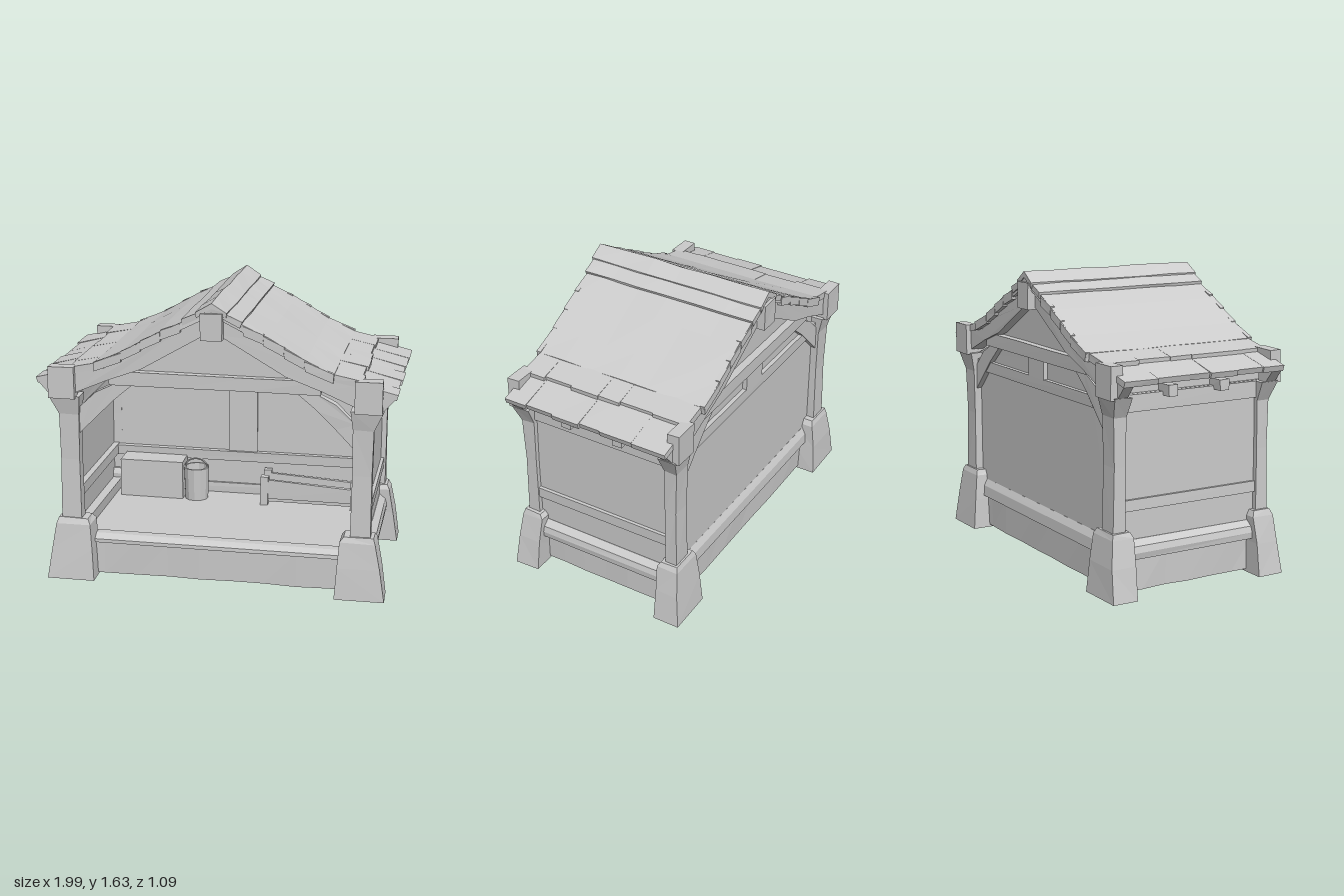
import * as THREE from 'three';

const mat = new THREE.MeshStandardMaterial({ color: 0xcccccc, flatShading: true, side: THREE.DoubleSide });

// Repeatable pseudo-random value in -1..1 from a position
function hash(x, y, z) {
  const s = Math.sin(x * 127.1 + y * 311.7 + z * 74.7) * 43758.5453;
  return (s - Math.floor(s)) * 2 - 1;
}

// Nudge corners a little for a hand-hewn look; coincident vertices move together
function rough(geo, amount) {
  const p = geo.attributes.position;
  for (let i = 0; i < p.count; i++) {
    const [x, y, z] = [p.getX(i), p.getY(i), p.getZ(i)].map(v => Math.round(v * 1000) / 1000);
    p.setXYZ(i, x + amount * hash(x, y, z), Math.max(0, y + amount * hash(y, z, x)), z + amount * hash(z, x, y));
  }
  geo.computeVertexNormals();
  return geo;
}

export function createModel() {
  const model = new THREE.Group();

  const add = (name, geo, amount = 0.002, parent = model) => {
    const mesh = new THREE.Mesh(rough(geo, amount), mat);
    mesh.name = name;
    parent.add(mesh);
  };
  // Box given by its limits on each axis
  const box = (name, x0, x1, y0, y1, z0, z1, amount, seg = [1, 1, 1]) => {
    const g = new THREE.BoxGeometry(Math.abs(x1 - x0), y1 - y0, Math.abs(z1 - z0), ...seg);
    g.translate((x0 + x1) / 2, (y0 + y1) / 2, (z0 + z1) / 2);
    add(name, g, amount);
  };
  // Outline in x/y extruded between two z values
  const prism = (name, pts, z0, z1, amount, steps = 1) => {
    const shape = new THREE.Shape(pts.map(p => new THREE.Vector2(p[0], p[1])));
    const g = new THREE.ExtrudeGeometry(shape, { depth: Math.abs(z1 - z0), bevelEnabled: false, steps });
    g.translate(0, 0, Math.min(z0, z1));
    add(name, g, amount);
  };
  // Block open at the bottom whose section changes with height: rows of [y, x0, x1, z0, z1]
  const tapered = (name, rows, sx, sz, amount) => {
    const pos = [], idx = [], n = rows.length;
    for (const [y, x0, x1, z0, z1] of rows)
      pos.push(sx * x0, y, sz * z0, sx * x1, y, sz * z0, sx * x1, y, sz * z1, sx * x0, y, sz * z1);
    const quad = (a, b, c, d) => (sx * sz > 0 ? idx.push(a, c, b, a, d, c) : idx.push(a, b, c, a, c, d));
    for (let r = 0; r < n - 1; r++)
      for (let k = 0; k < 4; k++) {
        const a = r * 4 + k, b = r * 4 + (k + 1) % 4;
        quad(a, b, b + 4, a + 4);
      }
    const t = (n - 1) * 4;
    quad(t, t + 1, t + 2, t + 3);
    const g = new THREE.BufferGeometry();
    g.setAttribute('position', new THREE.Float32BufferAttribute(pos, 3));
    g.setIndex(idx);
    add(name, g.toNonIndexed(), amount);
  };
  const mirror = (pts, s) => pts.map(([x, y]) => [x * s, y]);

  // Hollow stone plinth, floor and sloped sills
  for (const t of [1, -1]) {
    box('plinthLong', -0.82, 0.82, 0.015, 0.21, t * 0.425, t * 0.437, 0.003, [9, 1, 1]);
    box('plinthShort', t * 0.818, t * 0.83, 0.015, 0.21, -0.43, 0.43, 0.003, [1, 1, 6]);
  }
  box('floor', -0.82, 0.82, 0.2, 0.238, -0.425, 0.4, 0.001);
  tapered('frontSill', [[0.2, -0.72, 0.72, 0.36, 0.452], [0.222, -0.72, 0.72, 0.36, 0.45], [0.243, -0.72, 0.72, 0.36, 0.41]], 1, 1);
  tapered('backSill', [[0.2, -0.74, 0.74, 0.4, 0.468], [0.26, -0.74, 0.74, 0.4, 0.462], [0.3, -0.74, 0.74, 0.4, 0.44]], 1, -1);

  // Back wall with rails and studs
  prism('backWall', [[-0.8, 0.24], [0.8, 0.24], [0.8, 1.06], [0.52, 1.17], [-0.52, 1.17], [-0.8, 1.06]], -0.44, -0.415, 0.001);
  box('backLowRail', -0.78, 0.78, 0.45, 0.51, -0.42, -0.38);
  box('backHighRail', -0.78, 0.78, 0.97, 1.035, -0.465, -0.38);
  box('backStud', -0.085, 0.09, 0.5, 0.98, -0.42, -0.4);
  box('backTopStud', -0.085, 0.09, 1.03, 1.15, -0.465, -0.39);

  for (const s of [1, -1]) {
    // Side walls with rails, wall plate and rafter ends
    box('sideWall', s * 0.81, s * 0.838, 0.24, 1.07, -0.43, 0.43, 0.001);
    prism('sideSill', mirror([[0.76, 0.2], [0.88, 0.2], [0.885, 0.235], [0.875, 0.27], [0.84, 0.3], [0.76, 0.3]], s), -0.41, 0.41);
    box('sideLowRail', s * 0.775, s * 0.856, 0.455, 0.515, -0.43, 0.43);
    box('sideHighRail', s * 0.775, s * 0.86, 0.98, 1.07, -0.45, 0.45);
    box('wallPlate', s * 0.77, s * 0.82, 1.06, 1.2, -0.48, 0.48);
    for (const z of [0.16, -0.16]) box('rafterEnd', s * 0.8, s * 0.92, 1.05, 1.11, z - 0.028, z + 0.028);

    for (const t of [1, -1]) {
      // Corner: stone footing, post with flared head, beam end and eaves bracket
      tapered('footing', [[0, 0.68, 0.952, 0.39, 0.54], [0.18, 0.69, 0.925, 0.385, 0.525],
        [0.325, 0.70, 0.897, 0.38, 0.51], [0.355, 0.72, 0.885, 0.395, 0.497]], s, t, 0.003);
      tapered('post', [[0.34, 0.755, 0.868, 0.415, 0.487], [0.7, 0.758, 0.866, 0.415, 0.482],
        [0.96, 0.755, 0.868, 0.41, 0.487], [1.07, 0.745, 0.92, 0.405, 0.51]], s, t, 0.002);
      box('beamEnd', s * 0.765, s * 0.912, 1.06, 1.238, t * 0.46, t * 0.53);
      prism('eavesBracket', mirror([[0.85, 0.99], [0.875, 1.02], [0.98, 1.145], [0.85, 1.19]], s), t * 0.43, t * 0.49);

      // Truss: rafter and curved knee brace
      prism('rafter', mirror([[0.03, 1.57], [0.3, 1.425], [0.55, 1.285], [0.78, 1.21],
        [0.78, 1.085], [0.58, 1.17], [0.4, 1.235], [0.03, 1.45]], s), t * 0.42, t * 0.5);
      prism('kneeBrace', mirror([[0.77, 0.84], [0.66, 0.95], [0.56, 1.05], [0.44, 1.15],
        [0.54, 1.15], [0.66, 1.09], [0.77, 0.985]], s), t * 0.42, t * 0.47);
    }

    // Roof slope: two ridge-side courses, the broad course and the eaves courses
    prism('ridgeCap', mirror([[0, 1.628], [0.085, 1.573], [0.08, 1.545], [0, 1.595]], s), -0.535, 0.535, 0.003, 6);
    prism('upperCourse', mirror([[0, 1.602], [0.165, 1.528], [0.155, 1.495], [0, 1.57]], s), -0.527, 0.527, 0.003, 6);
    prism('mainCourse', mirror([[0.06, 1.562], [0.3, 1.45], [0.5, 1.335], [0.655, 1.265],
      [0.65, 1.23], [0.49, 1.295], [0.29, 1.41], [0.06, 1.525]], s), -0.522, 0.522, 0.003, 6);
    // Lapped tiles along both verges
    const verge = [[0.17, 1.506], [0.28, 1.455], [0.39, 1.393], [0.5, 1.33], [0.655, 1.261]];
    for (const t of [1, -1])
      for (let i = 0; i < 4; i++) {
        const [x0, y0] = verge[i], [x1, y1] = verge[i + 1];
        prism('vergeTile', mirror([[x0, y0], [x1, y1 + 0.01], [x1 - 0.005, y1 - 0.04], [x0, y0 - 0.05]], s),
          t * 0.5, t * 0.526, 0.001);
      }
    // Ragged tiles in the two eaves courses
    const cuts = [-0.505, -0.3, -0.1, 0.03, 0.2, 0.37, 0.505];
    for (let i = 0; i < 6; i++) {
      const d = 0.012 * hash(i, s, 3), e = 0.016 * hash(i, s, 8);
      prism('middleTile', mirror([[0.6, 1.275], [0.8 + d, 1.234], [0.797 + d, 1.195], [0.6, 1.235]], s), cuts[i], cuts[i + 1], 0.001);
      prism('eaveTile', mirror([[0.75, 1.225], [0.985 + e, 1.166], [0.975 + e, 1.135], [0.75, 1.19]], s),
        cuts[i] * 0.98, cuts[i + 1] * 0.98, 0.001);
    }
  }

  // Ridge beam, tie beams and gable panels
  box('ridgeBeam', -0.06, 0.06, 1.425, 1.57, -0.545, 0.545);
  for (const t of [1, -1]) {
    box('tieBeam', -0.58, 0.58, 1.14, 1.215, t * 0.41, t * 0.485, 0.002, [3, 1, 1]);
    prism('gablePanel', [[-0.5, 1.19], [0.5, 1.19], [0.06, 1.5], [-0.06, 1.5]], t * 0.425, t * 0.44, 0.001);
  }

  // Chest against the back wall
  box('chest', -0.722, -0.34, 0.235, 0.47, -0.385, -0.235, 0.004);

  // Bucket with a hoop handle
  const bucket = new THREE.Group();
  bucket.name = 'bucket';
  bucket.position.set(-0.262, 0.235, -0.285);
  model.add(bucket);
  const profile = [[0, 0], [0.07, 0], [0.078, 0.2], [0.066, 0.2], [0.06, 0.04], [0, 0.04]];
  add('bucketBody', new THREE.LatheGeometry(profile.map(p => new THREE.Vector2(...p)), 12), 0, bucket);
  add('bucketHandle', new THREE.TorusGeometry(0.068, 0.006, 5, 12, Math.PI).scale(1, 0.8, 1).translate(0, 0.195, 0), 0, bucket);

  // Low bed: posts, rails and boards
  for (const z of [-0.24, -0.37]) {
    for (const x of [0.163, 0.703]) box('bedPost', x - 0.023, x + 0.023, 0.235, 0.415, z - 0.02, z + 0.02);
    prism('bedRail', [[0.17, 0.275], [0.7, 0.275], [0.7, 0.365], [0.17, 0.395]], z - 0.012, z + 0.012);
  }
  for (const x of [0.163, 0.703]) box('bedEnd', x - 0.012, x + 0.012, 0.27, 0.38, -0.37, -0.24);
  box('bedBoards', 0.17, 0.7, 0.255, 0.29, -0.37, -0.24);

  return model;
}
